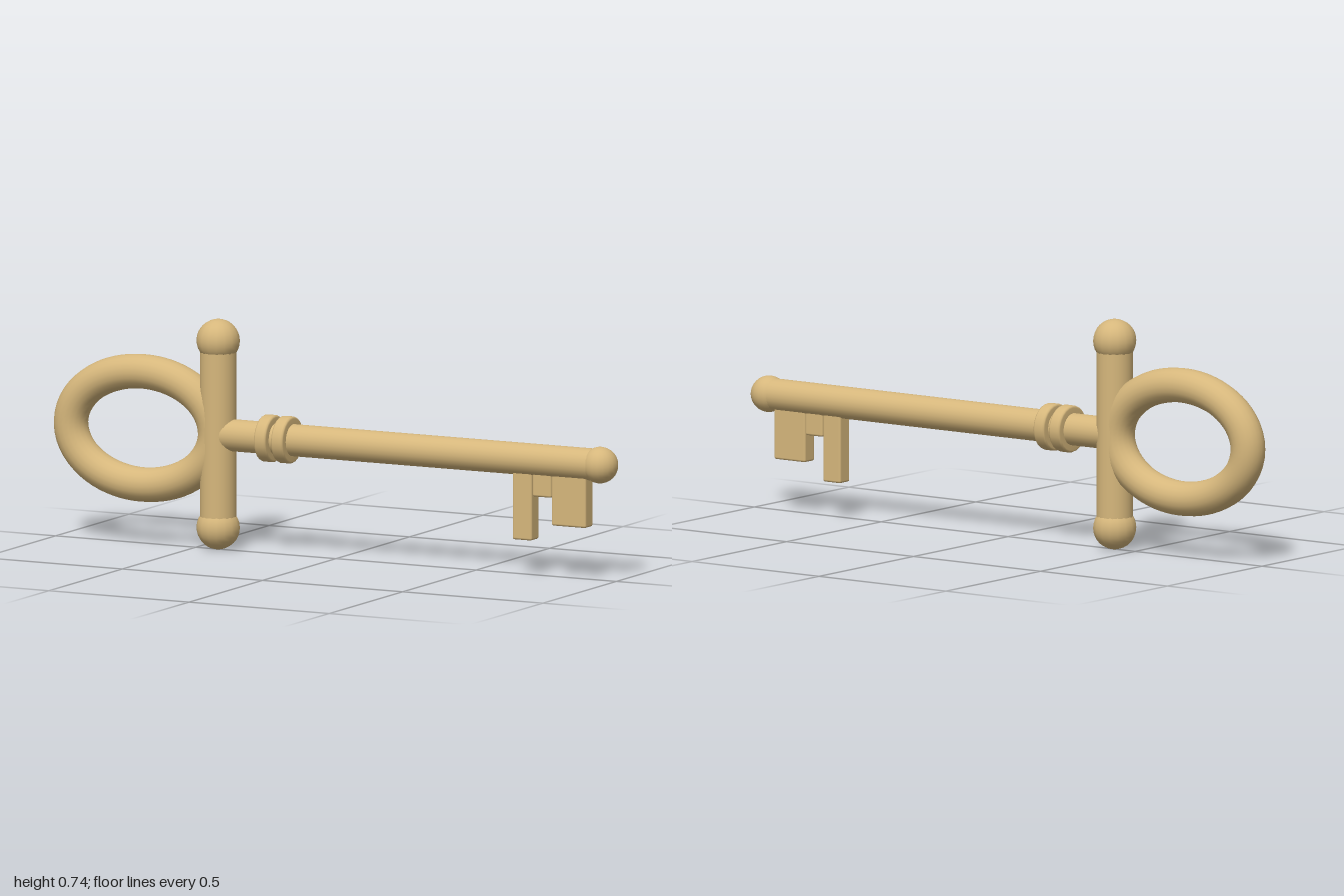
import * as THREE from 'three';
import { RoundedBoxGeometry } from 'three/addons/geometries/RoundedBoxGeometry.js';

export function createModel() {
  const key = new THREE.Group();
  key.name = 'key';
  const brass = new THREE.MeshStandardMaterial({ color: 0xd6b77c });
  brass.name = 'brass';
  const axisY = 0.371; // height of the shaft centre line
  const barX = -0.42;

  const add = (name, geometry, x, y) => {
    const mesh = new THREE.Mesh(geometry, brass);
    mesh.name = name;
    mesh.position.set(x, y, 0);
    key.add(mesh);
    return mesh;
  };

  // Oval bow: a round tube swept along an ellipse
  class Oval extends THREE.Curve {
    getPoint(t, target = new THREE.Vector3()) {
      const a = t * Math.PI * 2;
      return target.set(0.257 * Math.cos(a), 0.181 * Math.sin(a), 0);
    }
  }
  add('bow', new THREE.TubeGeometry(new Oval(), 64, 0.055, 20, true), -0.688, axisY);

  // Upright crossbar with a ball at each end
  add('crossbar', new THREE.CylinderGeometry(0.058, 0.058, 0.6, 24), barX, axisY);
  for (const [name, side] of [['topBall', 1], ['bottomBall', -1]]) {
    add(name, new THREE.SphereGeometry(0.069, 16, 16), barX, axisY + side * 0.299);
  }

  // Shaft and its end ball
  add('shaft', new THREE.CylinderGeometry(0.051, 0.051, 1.36, 24), 0.26, axisY).rotation.z = -Math.PI / 2;
  add('tipBall', new THREE.SphereGeometry(0.058, 20, 16), 0.942, axisY);

  // Two collars with softened rims
  const w = 0.0215, r = 0.075, b = 0.007;
  const rim = [[0.045, -w], [r - b, -w], [r - b * 0.3, -w + b * 0.3], [r, -w + b],
    [r, w - b], [r - b * 0.3, w - b * 0.3], [r - b, w], [0.045, w]];
  const collar = new THREE.LatheGeometry(rim.map(([x, y]) => new THREE.Vector2(x, y)), 24);
  for (const x of [-0.235, -0.174]) add('collar', collar, x, axisY).rotation.z = -Math.PI / 2;

  // Teeth under the shaft: left edge, right edge, bottom
  const top = 0.36;
  for (const [x0, x1, y0] of [[0.642, 0.711, 0.115], [0.713, 0.781, 0.257], [0.781, 0.904, 0.169]]) {
    add('tooth', new RoundedBoxGeometry(x1 - x0, top - y0, 0.053, 2, 0.007), (x0 + x1) / 2, (top + y0) / 2);
  }
  return key;
}
